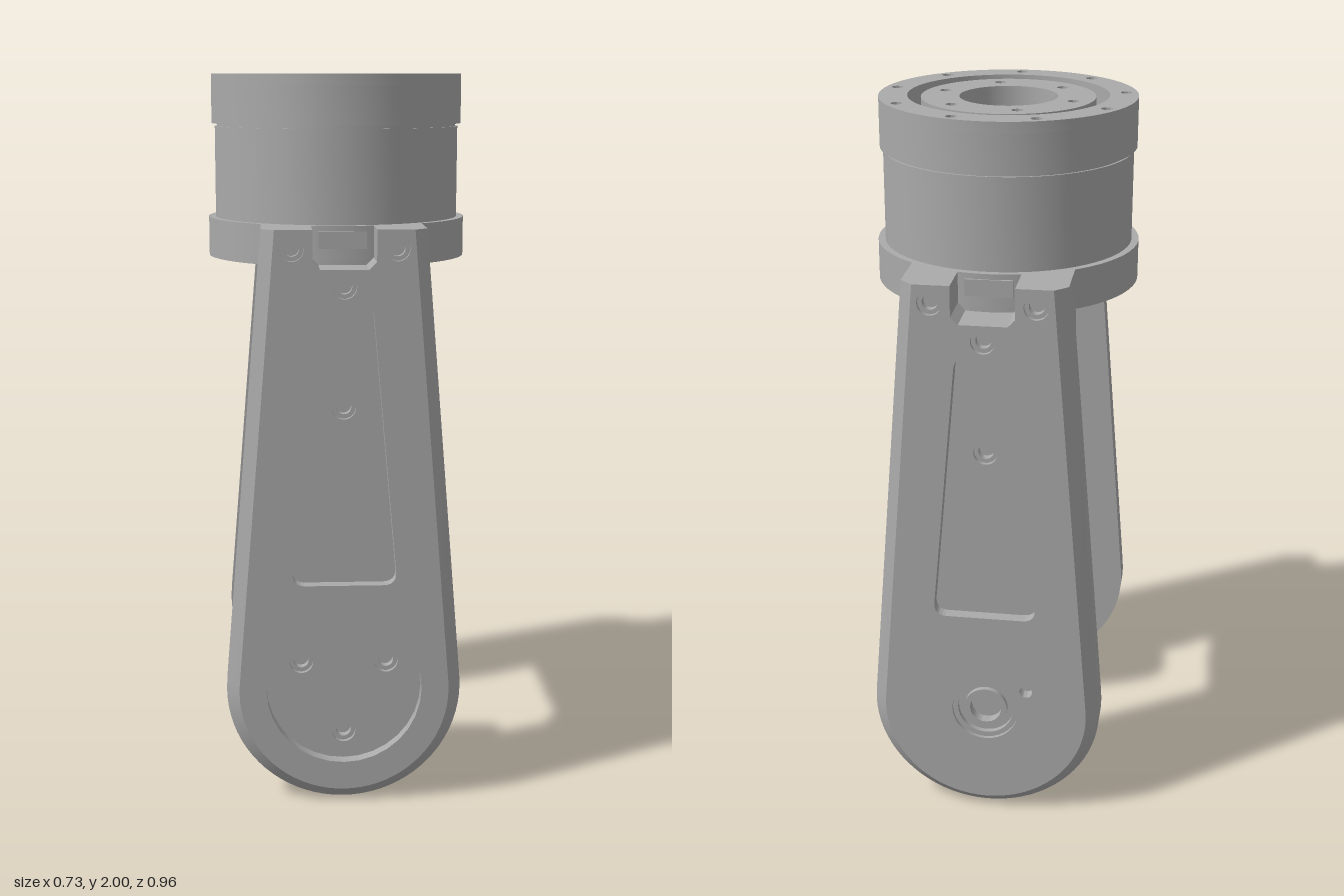
import * as THREE from 'three';
import { toCreasedNormals } from 'three/addons/utils/BufferGeometryUtils.js';

const metal = new THREE.MeshStandardMaterial({ color: 0xaaaaaa });
metal.name = 'greyMetal';

function add(parent, name, geometry) {
  const mesh = new THREE.Mesh(toCreasedNormals(geometry, 0.5), metal);
  mesh.name = name;
  parent.add(mesh);
  return mesh;
}
const vec = (pts) => pts.map(([x, y]) => new THREE.Vector2(x, y));
const lathe = (pts, segments = 48) => new THREE.LatheGeometry(vec(pts), segments);
const circle = (x, y, r) => new THREE.Path().absarc(x, y, r, 0, Math.PI * 2, true);
const extrude = (shape, depth, z = 0, curveSegments = 16) =>
  new THREE.ExtrudeGeometry(shape, { depth, bevelEnabled: false, curveSegments }).translate(0, 0, z);

// Polygon path with rounded corners
function roundedPath(pts, r, path = new THREE.Path()) {
  const p = vec(pts), n = p.length;
  p.forEach((c, i) => {
    const toward = (q) => c.clone().add(q.clone().sub(c).setLength(r));
    const a = toward(p[(i + n - 1) % n]), b = toward(p[(i + 1) % n]);
    if (i === 0) path.moveTo(a.x, a.y); else path.lineTo(a.x, a.y);
    path.quadraticCurveTo(c.x, c.y, b.x, b.y);
  });
  path.closePath();
  return path;
}

const TOP = 1.6, CY = 0.325, R = 0.325, W = 0.22;
const NOTCH = [[-0.085, TOP], [-0.085, 1.515], [-0.065, 1.495], [0.065, 1.495], [0.085, 1.515], [0.085, TOP]];

// Leg outline, inset by d along the sides and the round foot
function legOutline(d) {
  const r = R - d, w = W - d, h = TOP - CY;
  const tangent = Math.atan2(h, w) - Math.acos(r / Math.hypot(w, h));
  const pts = [...NOTCH].reverse().map(([x, y]) => [x, y]);
  pts.push([-w, TOP]);
  const start = Math.PI - tangent, sweep = Math.PI + 2 * tangent, n = 40;
  for (let i = 0; i <= n; i++) {
    const a = start + sweep * i / n;
    pts.push([r * Math.cos(a), CY + r * Math.sin(a)]);
  }
  pts.push([w, TOP]);
  return vec(pts);
}

function withHoles(points, holes) {
  const shape = new THREE.Shape(points);
  shape.holes.push(...holes);
  return shape;
}

function makeLeg(name, isMotorSide) {
  const leg = new THREE.Group();
  leg.name = name;
  const Z0 = 0.37, Z1 = 0.445, Z2 = 0.48, chamfer = 0.035, screwR = 0.033;
  const topScrews = [[-0.14, 1.55], [0.14, 1.55], [0, 1.45]];
  const floorScrews = [[0, 1.12]];
  if (isMotorSide) floorScrews.push([-0.118, 0.4], [0.118, 0.4], [0, 0.195]);
  const screwHole = ([x, y]) => circle(x, y, screwR);
  const bearing = isMotorSide ? [] : [circle(0, 0.33, 0.095)];

  // Inner layer of the plate
  add(leg, 'legPlate', extrude(withHoles(legOutline(0),
    [...topScrews, ...floorScrews].map(screwHole).concat(bearing)), Z1 - Z0, Z0));

  // Outer layer with pockets; its inner rim flares out to form the chamfer
  const pocket = roundedPath([[-0.145, 0.63], [0.145, 0.63], [0.075, 1.41], [-0.075, 1.41]], 0.04);
  const lower = isMotorSide ? [circle(0, 0.33, 0.215)] : [...bearing, circle(0.118, 0.4, 0.018)];
  const inset = legOutline(chamfer), full = legOutline(0);
  const face = extrude(withHoles(inset, [pocket, ...lower, ...topScrews.map(screwHole)]), Z2 - Z1);
  const pos = face.attributes.position;
  for (let i = 0; i < pos.count; i++) {
    if (pos.getZ(i) > 1e-5) continue;
    const k = inset.findIndex((p) => Math.hypot(p.x - pos.getX(i), p.y - pos.getY(i)) < 1e-4);
    if (k >= 0) pos.setXY(i, full[k].x, full[k].y);
  }
  face.translate(0, 0, Z1);
  add(leg, 'legFace', face);

  // Socket screws sunk in their holes
  const screw = (z) => ([x, y]) => add(leg, 'screw', lathe(
    [[screwR, -0.012], [0.021, -0.012], [0.021, -0.035], [0, -0.035]], 20)
    .rotateX(Math.PI / 2).translate(x, y, z));
  topScrews.forEach(screw(Z2));
  floorScrews.forEach(screw(Z1));

  // Mounting block under the turret, with clipped lower corners
  add(leg, 'mountBlock', extrude(new THREE.Shape(vec([...NOTCH].reverse().concat(
    [[-W, TOP], [-0.225, 1.43], [-0.15, 1.36], [0.15, 1.36], [0.225, 1.43], [W, TOP]]))), 0.075, 0.295));

  // Small plate seen at the back of the notch
  add(leg, 'notchPlate', new THREE.BoxGeometry(0.13, 0.046, 0.008).translate(0, 1.562, 0.367));

  if (isMotorSide) {
    add(leg, 'motor', lathe([[0, 0], [0.207, 0], [0.207, 0.23], [0.012, 0.23], [0.012, 0.2], [0, 0.2]])
      .rotateX(-Math.PI / 2).translate(0, 0.33, Z0));
  } else {
    add(leg, 'bearing', lathe([[0.05, 0], [0.095, 0], [0.095, 0.1], [0.08, 0.1], [0.08, 0.085],
      [0.062, 0.085], [0.062, 0.1], [0.045, 0.1], [0.045, 0], [0.05, 0]], 32)
      .rotateX(Math.PI / 2).translate(0, 0.33, Z0));
    add(leg, 'bearingShaft', new THREE.CylinderGeometry(0.046, 0.046, 0.05, 24)
      .rotateX(Math.PI / 2).translate(0, 0.33, Z0 + 0.045));
  }
  return leg;
}

// Flat ring with a circle of screw holes, lying in the horizontal plane
function drilledRing(outer, inner, holeCircle, count, startDeg, y, height) {
  const shape = new THREE.Shape().absarc(0, 0, outer, 0, Math.PI * 2, false);
  shape.holes.push(circle(0, 0, inner));
  for (let i = 0; i < count; i++) {
    const a = -THREE.MathUtils.degToRad(startDeg + 360 * i / count);
    shape.holes.push(circle(holeCircle * Math.cos(a), holeCircle * Math.sin(a), 0.016));
  }
  return extrude(shape, height, 0, 32).rotateX(-Math.PI / 2).translate(0, y, 0);
}

function makeTurret() {
  const turret = new THREE.Group();
  turret.name = 'turret';
  // Housing from the base up, over the rim, through the groove and into the bore
  add(turret, 'turretHousing', lathe([
    [0, 1.485], [0.292, 1.485], [0.292, 1.51], [0.367, 1.51], [0.367, TOP], [0.347, TOP],
    [0.347, 1.855], [0.341, 1.855], [0.341, 1.863], [0.356, 1.863], [0.356, 1.97],
    [0.277, 1.97], [0.277, 1.935], [0.24, 1.935], [0.24, 1.97], [0.135, 1.97],
    [0.135, 1.945], [0.147, 1.945], [0.147, 1.925], [0.135, 1.925], [0.135, 1.895],
    [0.147, 1.895], [0.147, 1.875], [0.135, 1.875], [0.135, 1.82],
    [0.014, 1.82], [0.014, 1.78], [0, 1.78]], 64));
  add(turret, 'topOuterRing', drilledRing(0.356, 0.277, 0.324, 9, 9, 1.97, 0.03));
  add(turret, 'topInnerRing', drilledRing(0.24, 0.135, 0.19, 6, 15, 1.97, 0.025));
  add(turret, 'bottomRing', drilledRing(0.367, 0.292, 0.33, 9, 9, 1.49, 0.02));
  return turret;
}

function makeCrossbar() {
  const bar = new THREE.Group();
  bar.name = 'crossbar';
  const upper = [[0.38, 1.29], [0.29, 1.29], [0.22, 1.222], [-0.22, 1.222], [-0.29, 1.29], [-0.38, 1.29]];
  const lower = upper.map(([z, y]) => [z, 2.23 - y]).reverse();
  const shape = new THREE.Shape(vec([...upper, ...lower]));
  const slot = new THREE.Path();
  slot.absarc(0.208, 1.115, 0.053, Math.PI / 2, -Math.PI / 2, true);
  slot.absarc(-0.208, 1.115, 0.053, -Math.PI / 2, Math.PI / 2, true);
  shape.holes.push(slot);
  const b = 0.017, half = 0.075;
  add(bar, 'crossbarFrame', new THREE.ExtrudeGeometry(shape, {
    depth: 2 * (half - b), bevelThickness: b, bevelSize: b, bevelOffset: -b, bevelSegments: 1, curveSegments: 12,
  }).translate(0, 0, -(half - b)).rotateY(-Math.PI / 2));
  // Web closing the slot
  add(bar, 'crossbarWeb', new THREE.BoxGeometry(0.06, 0.13, 0.56).translate(0, 1.115, 0));
  return bar;
}

export function createModel() {
  const model = new THREE.Group();
  model.name = 'robotJoint';
  const backLeg = makeLeg('backLeg', false);
  backLeg.rotation.y = Math.PI;
  model.add(makeLeg('frontLeg', true), backLeg, makeCrossbar(), makeTurret());
  return model;
}
